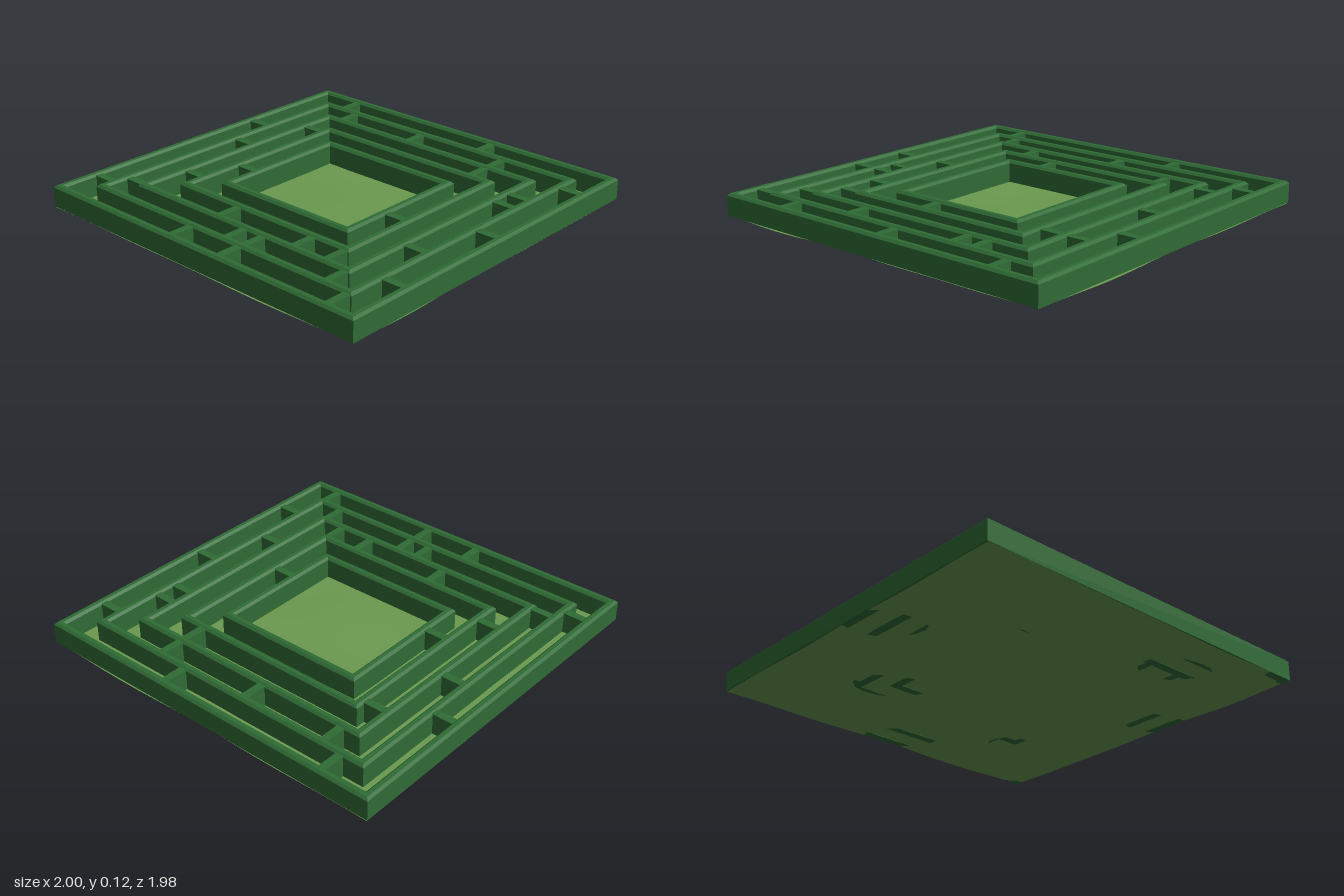
import * as THREE from 'three';

const hedge = new THREE.MeshStandardMaterial({ color: 0x2f6b35, roughness: 0.9 });
const grass = new THREE.MeshStandardMaterial({ color: 0x6b9a50, roughness: 0.95, side: THREE.DoubleSide });
const BASE = 0.01, TOP = 0.125, BEVEL = 0.012, WALL = 0.045;

// Half extents [x, z] of the nested hedge squares, outermost first
const rings = [[1, 0.99], [0.853, 0.84], [0.71, 0.693], [0.567, 0.542], [0.425, 0.393]];

// Closed rectangular wall: a bevelled profile (inset, height) carried round four corners
function ringGeometry(hx, hz) {
  const profile = [
    [0, BASE], [0, TOP - BEVEL], [BEVEL, TOP],
    [WALL - BEVEL, TOP], [WALL, TOP - BEVEL], [WALL, BASE],
  ];
  const corners = [[-1, 1], [1, 1], [1, -1], [-1, -1]];
  const pos = [];
  const point = (c, p) => [c[0] * (hx - p[0]), p[1], c[1] * (hz - p[0])];
  for (let i = 0; i < 4; i++) {
    const c0 = corners[i], c1 = corners[(i + 1) % 4];
    for (let j = 0; j < profile.length; j++) {
      const p0 = profile[j], p1 = profile[(j + 1) % profile.length];
      const a = point(c0, p0), b = point(c1, p0), c = point(c1, p1), d = point(c0, p1);
      pos.push(...a, ...b, ...c, ...a, ...c, ...d);
    }
  }
  const g = new THREE.BufferGeometry();
  g.setAttribute('position', new THREE.Float32BufferAttribute(pos, 3));
  g.computeVertexNormals();
  return g;
}

// Cross hedges for each corridor (between ring i and i + 1):
// back and front list x positions, left and right list z positions
const corridors = [
  { back: [-0.72, 0.245], front: [-0.155, 0.165, 0.825], minusX: [-0.335, 0.74], plusX: [-0.7, -0.03, 0.625] },
  { back: [-0.6, -0.12, 0.42], front: [0.05, 0.17, 0.68], minusX: [-0.08, 0.66], plusX: [-0.47, -0.35, 0.31] },
  { back: [0.42], front: [-0.15, 0.34, 0.54], minusX: [-0.47, 0.4], plusX: [] },
  { back: [], front: [], minusX: [0.165], plusX: [0.11] },
];

export function createModel() {
  const model = new THREE.Group();
  model.name = 'hedgeMaze';

  // Gently uneven lawn
  const lawnGeo = new THREE.PlaneGeometry(1.99, 1.98, 40, 40).rotateX(-Math.PI / 2);
  const p = lawnGeo.attributes.position;
  for (let i = 0; i < p.count; i++) {
    const x = p.getX(i), z = p.getZ(i);
    const wave = Math.sin(x * 7 + 1.3) * Math.cos(z * 6 - 0.6) * 0.6 + Math.sin(x * 4 - z * 9) * 0.4;
    p.setY(i, 0.0065 + 0.0065 * wave);
  }
  lawnGeo.computeVertexNormals();
  const lawn = new THREE.Mesh(lawnGeo, grass);
  lawn.name = 'lawn';
  model.add(lawn);

  // Nested square hedges
  rings.forEach(([hx, hz], i) => {
    const ring = new THREE.Mesh(ringGeometry(hx, hz), hedge);
    ring.name = `hedgeRing${i + 1}`;
    model.add(ring);
  });

  // Short hedges blocking the corridors
  const height = TOP - 0.007 - BASE;
  function addCross(x, z, w, d) {
    const m = new THREE.Mesh(new THREE.BoxGeometry(w, height, d), hedge);
    m.position.set(x, BASE + height / 2, z);
    m.name = 'crossHedge';
    model.add(m);
  }
  corridors.forEach((c, i) => {
    const [ox, oz] = rings[i], [ix, iz] = rings[i + 1];
    const midX = (ox - WALL + ix) / 2, midZ = (oz - WALL + iz) / 2;
    const lenX = ox - WALL - ix + 0.02, lenZ = oz - WALL - iz + 0.02;
    c.back.forEach((x) => addCross(x, -midZ, 0.042, lenZ));
    c.front.forEach((x) => addCross(x, midZ, 0.042, lenZ));
    c.minusX.forEach((z) => addCross(-midX, z, lenX, 0.042));
    c.plusX.forEach((z) => addCross(midX, z, lenX, 0.042));
  });

  return model;
}
